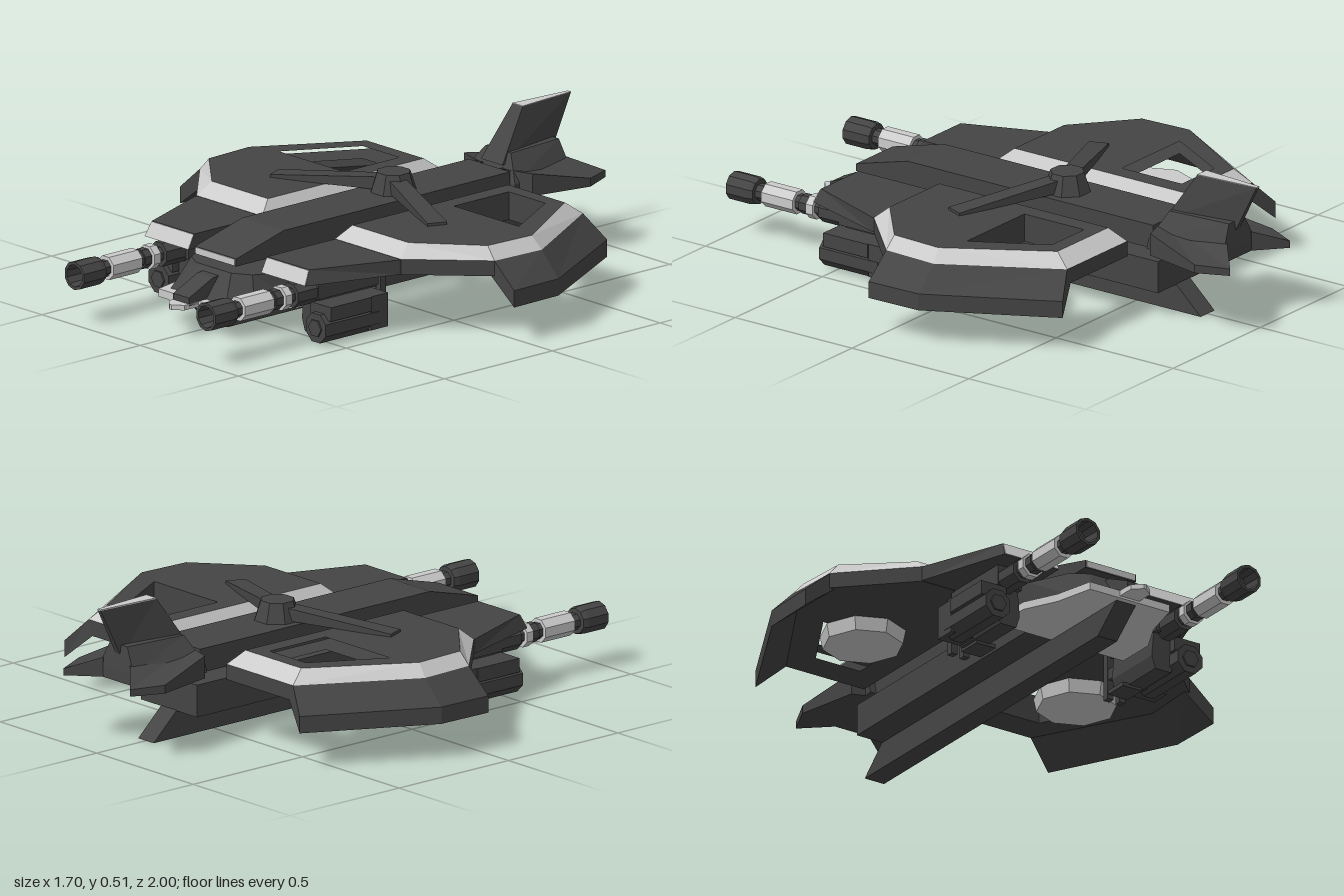
import * as THREE from 'three';

const dark = new THREE.MeshStandardMaterial({ color: 0x444444, flatShading: true });
const light = new THREE.MeshStandardMaterial({ color: 0xcccccc, flatShading: true });

function add(parent, name, geo, mat = dark) {
  const mesh = new THREE.Mesh(geo, mat);
  mesh.name = name;
  parent.add(mesh);
  return mesh;
}

// Skin a row of equal-length rings of [x, y, z]; faces are turned outward.
function loft(rings, capped = true) {
  const tris = [], n = rings[0].length;
  for (let r = 0; r + 1 < rings.length; r++) {
    for (let i = 0; i < n; i++) {
      const j = (i + 1) % n, a = rings[r], b = rings[r + 1];
      tris.push([a[i], a[j], b[j]], [a[i], b[j], b[i]]);
    }
  }
  if (capped) {
    const a = rings[0], b = rings[rings.length - 1];
    for (let i = 1; i + 1 < n; i++) tris.push([a[0], a[i + 1], a[i]], [b[0], b[i], b[i + 1]]);
  }
  const centre = new THREE.Vector3();
  rings.flat().forEach(p => centre.add(new THREE.Vector3(...p)));
  centre.divideScalar(n * rings.length);
  let volume = 0;
  for (const t of tris) {
    const [a, b, c] = t.map(p => new THREE.Vector3(...p).sub(centre));
    volume += a.dot(b.cross(c));
  }
  if (volume < 0) tris.forEach(t => t.reverse());
  const geo = new THREE.BufferGeometry();
  geo.setAttribute('position', new THREE.Float32BufferAttribute(tris.flat(2), 3));
  geo.computeVertexNormals();
  return geo;
}

// Plan outline [x, z] placed at height y, mirrored by s
const ring = (pts, y, s = 1) => pts.map(([x, z]) => [x * s, y, z]);
// Right half outline completed with its mirror image
const both = half => [...half, ...half.map(([x, z]) => [-x, z]).reverse()];
// Side profile [z, y] swept across x
const across = (pts, w) => loft([-w, w].map(x => pts.map(([z, y]) => [x, y, z])));

function slab(outline, hole, y0, y1, s) {
  const v = pts => pts.map(([x, z]) => new THREE.Vector2(x * s, z));
  const shape = new THREE.Shape(v(outline));
  shape.holes.push(new THREE.Path(v(hole)));
  return new THREE.ExtrudeGeometry(shape, { depth: y1 - y0, bevelEnabled: false })
    .rotateX(Math.PI / 2).translate(0, y1, 0);
}

function box(x0, x1, y0, y1, z0, z1) {
  return new THREE.BoxGeometry(Math.abs(x1 - x0), y1 - y0, z1 - z0)
    .translate((x0 + x1) / 2, (y0 + y1) / 2, (z0 + z1) / 2);
}

const tubeZ = (x, y, z0, z1, r, sides = 8) => new THREE.CylinderGeometry(r, r, z1 - z0, sides)
  .rotateY(Math.PI / sides).rotateX(Math.PI / 2).translate(x, y, (z0 + z1) / 2);

function buildHull(g) {
  add(g, 'hull', box(-0.145, 0.145, 0.095, 0.21, -0.67, 0.45));
  add(g, 'keel', across([[0.63, 0], [-0.775, 0], [-0.67, 0.097], [0.75, 0.097]], 0.04));
  // nose with chamfered corners, on a wider light plate
  const noseLow = both([[0.225, 0.35], [0.225, 0.5], [0.185, 0.64], [0.14, 0.73]]);
  const noseTop = both([[0.225, 0.35], [0.225, 0.48], [0.155, 0.62], [0.09, 0.66]]);
  add(g, 'nose', loft([ring(noseLow, 0.12), ring(noseTop, 0.21)]));
  const plate = both([[0.26, 0.35], [0.26, 0.5], [0.2, 0.62], [0.165, 0.765]]);
  add(g, 'nosePlate', loft([ring(plate, 0.092), ring(plate, 0.12)]), light);
  const tip = both([[0.04, 0.7], [0.04, 0.83], [0.005, 0.86]]);
  add(g, 'noseTip', loft([ring(tip, 0.1), ring(tip, 0.118)]), light);
  add(g, 'snout', across([[0.62, 0.11], [0.81, 0.11], [0.81, 0.14], [0.7, 0.19], [0.62, 0.2]], 0.04));
  // raised spine with sloped front
  add(g, 'spine', across([[-0.62, 0.235], [0.65, 0.235], [0.65, 0.262], [0.43, 0.32], [-0.62, 0.32]], 0.105));
  add(g, 'spineFront', box(-0.1, 0.1, 0.237, 0.26, 0.64, 0.653), light);
}

function buildRotor(g) {
  const hub = new THREE.CylinderGeometry(0.06, 0.085, 0.075, 8).rotateY(Math.PI / 8);
  add(g, 'rotorHub', hub.translate(0, 0.352, -0.175));
  for (const s of [1, -1]) {
    const end = (x, z, w, y0, y1) => [[-1, y0], [1, y0], [1, y1], [-1, y1]]
      .map(([k, y]) => [s * (x - k * w * 0.38), y, z + k * w * 0.92]);
    add(g, 'rotorBlade', loft([end(0.03, -0.16, 0.03, 0.325, 0.372), end(0.415, 0.0, 0.036, 0.318, 0.33)]));
  }
}

function buildTail(g) {
  const low = both([[0.13, -0.61], [0.1, -0.91]]);
  const mid = both([[0.13, -0.62], [0.09, -0.91]]);
  const top = both([[0.065, -0.66], [0.045, -0.9]]);
  add(g, 'tailBase', loft([ring(low, 0.24), ring(mid, 0.28), ring(top, 0.37)]));
  const finLow = both([[0.055, -0.63], [0.012, -0.9]]);
  const finTop = both([[0.026, -0.75], [0.008, -0.99]]);
  add(g, 'tailFin', loft([ring(finLow, 0.33), ring(finTop, 0.51)]));
  add(g, 'tailFinCap', loft([ring(finTop, 0.508), ring(finTop, 0.512)]), light);
  for (const s of [1, -1]) {
    const outline = [[0.05, -0.62], [0.175, -0.66], [0.223, -0.885], [0.172, -1], [0.07, -0.91]];
    const upper = outline.map(([x, z], i) => [x * s, [0.32, 0.32, 0.27, 0.265, 0.31][i], z]);
    add(g, 'tailPlane', loft([ring(outline, 0.24, s), upper]));
  }
}

function buildWing(g, s) {
  const outer = [[0.185, -0.57], [0.53, -0.57], [0.76, -0.17], [0.75, 0.04], [0.52, 0.265], [0.185, 0.265]];
  const inner = [[0.215, -0.51], [0.505, -0.51], [0.72, -0.16], [0.71, 0.035], [0.5, 0.212], [0.215, 0.212]];
  const hole = [[0.28, -0.455], [0.465, -0.455], [0.61, -0.2], [0.28, -0.2]];
  add(g, 'wingBase', slab(outer, hole, 0.22, 0.275, s));
  add(g, 'wingTop', slab(inner, hole, 0.275, 0.32, s));
  add(g, 'wingBevel', loft([ring(outer, 0.275, s), ring(inner, 0.32, s)], false), light);

  // drooped flap along the outer edge
  const flap = [[0.53, -0.57, 0.61, -0.61], [0.76, -0.17, 0.845, -0.17], [0.75, 0.04, 0.85, 0.04]];
  add(g, 'wingFlap', loft(flap.map(([xi, zi, xo, zo]) => [
    [xi * s, 0.275, zi], [xo * s, 0.19, zo], [xo * s, 0.13, zo], [(xi - 0.02) * s, 0.22, zi]])));

  // lower front panel with light leading edge
  const panelLow = [[0.185, 0.25], [0.52, 0.25], [0.52, 0.27], [0.41, 0.605], [0.185, 0.605]];
  const panelTop = [[0.185, 0.25], [0.52, 0.25], [0.52, 0.27], [0.4, 0.58], [0.185, 0.58]];
  add(g, 'frontPanel', loft([ring(panelLow, 0.222, s), ring(panelTop, 0.274, s)]));
  add(g, 'panelEdge', loft([
    ring([[0.186, 0.59], [0.408, 0.59], [0.408, 0.608], [0.186, 0.608]], 0.223, s),
    ring([[0.186, 0.57], [0.4, 0.57], [0.4, 0.583], [0.186, 0.583]], 0.272, s)]), light);

  // lift thruster under the opening
  add(g, 'thruster', new THREE.CylinderGeometry(0.15, 0.14, 0.048, 8).translate(0.445 * s, 0.195, -0.2), light);
}

function buildGun(g, s) {
  const x = 0.335 * s, y = 0.175;
  const barrel = [[0.28, 0.61, 0.045, dark], [0.6, 0.9, 0.03, dark], [0.635, 0.665, 0.044, light],
    [0.67, 0.7, 0.036, dark], [0.72, 0.855, 0.044, light]];
  for (const [z0, z1, r, mat] of barrel) add(g, 'barrel', tubeZ(x, y, z0, z1, r), mat);
  // hollow muzzle
  const muzzle = [[0.02, 0.89], [0.046, 0.89], [0.051, 0.91], [0.051, 1], [0.04, 1], [0.036, 0.93], [0, 0.93]]
    .map(([r, h]) => new THREE.Vector2(r, h));
  add(g, 'muzzle', new THREE.LatheGeometry(muzzle, 10).rotateX(Math.PI / 2).scale(1, -1, 1)
    .rotateZ(Math.PI).translate(x, y, 0)).material = Object.assign(dark.clone(), { side: THREE.DoubleSide });

  // pod: mount, body and lower launcher
  add(g, 'gunMount', box(0.28 * s, 0.38 * s, 0.15, 0.23, 0.24, 0.52));
  const body = [[0.275, 0.06], [0.29, 0.015], [0.355, 0.015], [0.375, 0.06], [0.36, 0.17], [0.285, 0.17]];
  add(g, 'gunBody', loft([0.26, 0.5].map(z => body.map(([px, py]) => [px * s, py, z]))));
  add(g, 'gunFoot', box(0.265 * s, 0.345 * s, 0.005, 0.02, 0.25, 0.34));
  add(g, 'podArm', box(0.35 * s, 0.455 * s, 0.09, 0.14, 0.34, 0.53));
  add(g, 'podBlock', box(0.34 * s, 0.45 * s, 0.02, 0.14, 0.26, 0.34));
  add(g, 'launcher', tubeZ(0.4 * s, 0.06, 0.3, 0.55, 0.055));
  add(g, 'launcherCore', tubeZ(0.4 * s, 0.06, 0.5, 0.556, 0.032, 6));
  for (const dx of [0.3, 0.35]) add(g, 'rearStrut', box((dx - 0.012) * s, (dx + 0.012) * s, 0.01, 0.22, 0.19, 0.215));
  add(g, 'strutBar', box(0.29 * s, 0.36 * s, 0.08, 0.12, 0.2, 0.28));
}

export function createModel() {
  const model = new THREE.Group();
  model.name = 'gunship';
  const part = (name, build, s) => {
    const g = new THREE.Group();
    g.name = name;
    build(g, s);
    model.add(g);
  };
  part('fuselage', buildHull);
  part('rotor', buildRotor);
  part('tail', buildTail);
  for (const s of [1, -1]) {
    const side = s > 0 ? 'left' : 'right';
    part(side + 'Wing', buildWing, s);
    part(side + 'Gun', buildGun, s);
  }
  return model;
}
